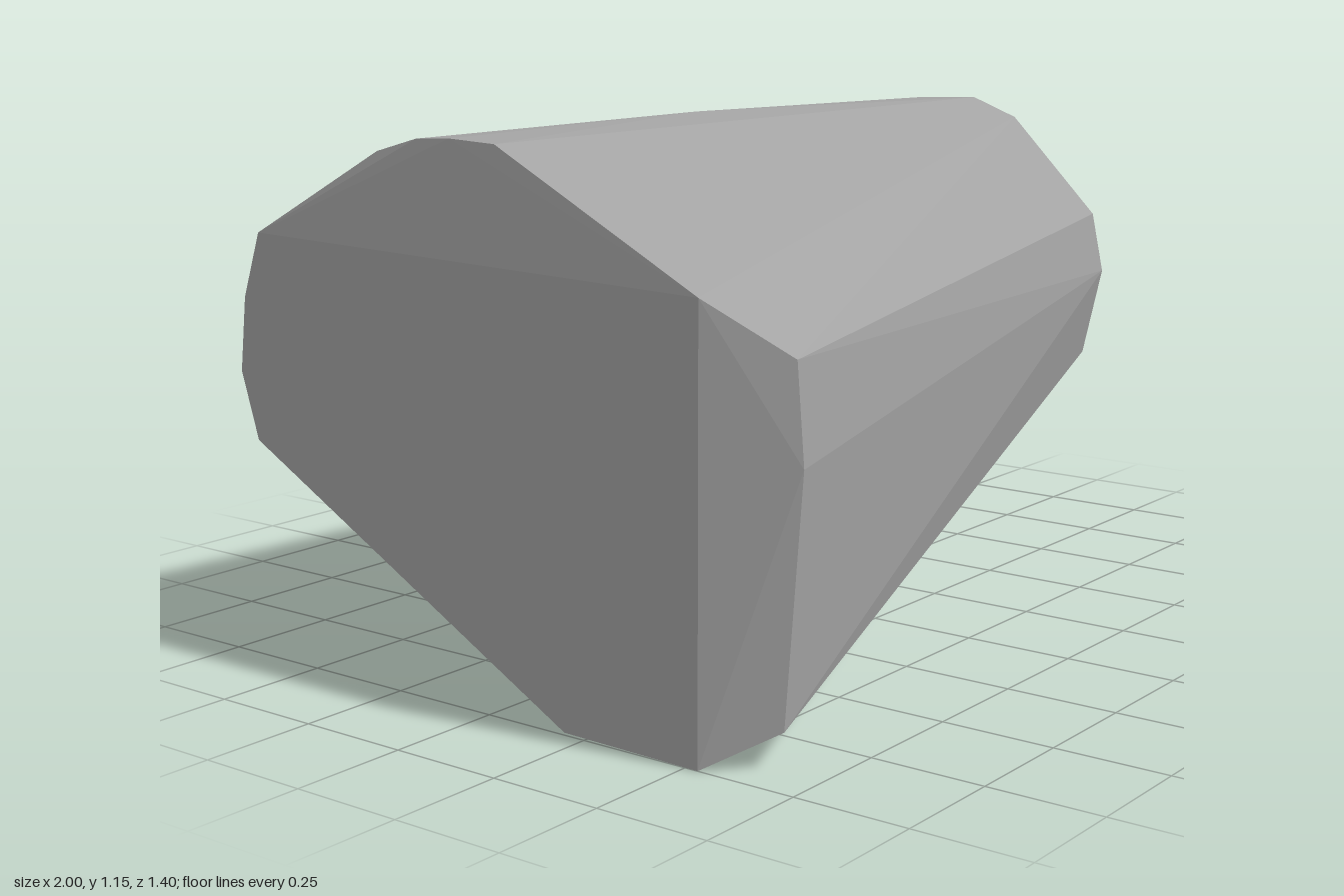
import * as THREE from 'three';
import { ConvexGeometry } from 'three/addons/geometries/ConvexGeometry.js';

export function createModel() {
  const group = new THREE.Group();
  group.name = 'taperedBlock';
  const grey = new THREE.MeshStandardMaterial({ color: 0xa3a3a3, flatShading: true });
  grey.name = 'grey';

  // Cross-sections as [z, y] pairs at a given x
  const section = (x, pairs) => pairs.map(([z, y]) => new THREE.Vector3(x, y, z));

  // Small flat end
  const endCap = section(1, [
    [-0.10, 1.04], [-0.22, 1.005], [-0.34, 0.92], [-0.45, 0.73], [-0.40, 0.52], [-0.28, 0.40],
    [-0.06, 0.33], [0.13, 0.42], [0.25, 0.62], [0.21, 0.84], [0.05, 1.00],
  ]);
  // Shoulder behind the bevel
  const shoulder = section(0.85, [
    [-0.03, 1.125], [-0.18, 1.12], [-0.27, 1.09], [-0.38, 1.03], [-0.50, 0.88], [-0.535, 0.72],
    [-0.49, 0.47], [-0.28, 0.28], [-0.08, 0.25], [0.16, 0.33], [0.30, 0.50], [0.35, 0.71],
    [0.32, 0.85], [0.20, 0.96], [0.09, 1.08],
  ]);
  // Wide end: flat face, its top rim and the bevelled front corner
  const wideEnd = section(-1, [
    [-0.63, 0.92], [-0.68, 0.78], [-0.70, 0.62], [-0.655, 0.475], [0.20, 0.005], [0.53, 0], [0.54, 0.89],
  ]);
  const topRim = section(-0.97, [[0.02, 1.135], [-0.10, 1.14], [-0.19, 1.135], [-0.30, 1.105]]);
  const frontEdge = section(-0.905, [[0.66, 0.075], [0.705, 0.58], [0.69, 0.78]]);
  // Flat foot and the faint crown along the top
  const foot = [
    new THREE.Vector3(-0.67, 0.012, 0.07), new THREE.Vector3(-0.9, 0.008, 0.12),
    new THREE.Vector3(-0.75, 0.002, 0.30), new THREE.Vector3(-0.2, 1.147, -0.10),
  ];

  const body = new THREE.Mesh(
    new ConvexGeometry([...endCap, ...shoulder, ...wideEnd, ...topRim, ...frontEdge, ...foot]), grey);
  body.name = 'body';
  group.add(body);
  return group;
}
